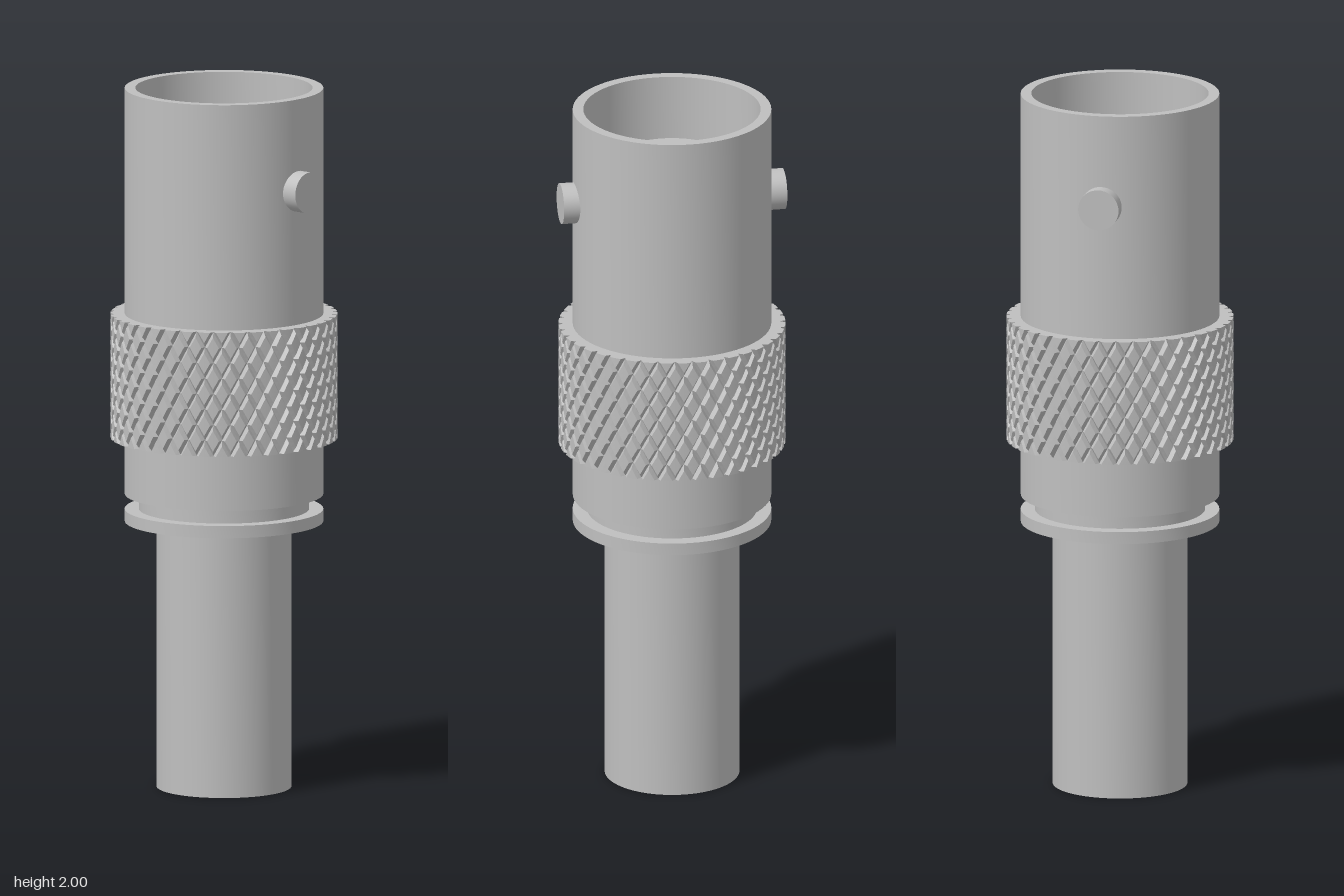
import * as THREE from 'three';
import { toCreasedNormals } from 'three/addons/utils/BufferGeometryUtils.js';

const metal = new THREE.MeshStandardMaterial({ color: 0xbfbfbf });
metal.name = 'brushed metal grey';

// Turned part from a [radius, height] profile: up the outside, down the inside
function turned(name, profile, segments = 72) {
  const points = profile.map(([r, y]) => new THREE.Vector2(r, y));
  const geometry = toCreasedNormals(new THREE.LatheGeometry(points, segments), 0.5);
  const mesh = new THREE.Mesh(geometry, metal);
  mesh.name = name;
  return mesh;
}

// Ring cut by two crossing families of V-shaped helical grooves
function knurledRing(y0, y1, radius, innerRadius) {
  const grooves = 40, period = 6, columns = grooves * period, rows = 24, depth = 0.014;
  const positions = [];
  const groove = (t) => {
    const m = ((t % period) + period) % period;
    return Math.max(0, 1 - Math.min(m, period - m));
  };
  const at = (r, i, j) => {
    const a = (i / columns) * Math.PI * 2;
    return [r * Math.sin(a), y0 + ((y1 - y0) * j) / rows, r * Math.cos(a)];
  };
  const skin = (i, j) => at(radius - depth * Math.max(groove(i + j), groove(i - j)), i, j);
  const tri = (a, b, c) => positions.push(...a, ...b, ...c);

  for (let i = 0; i < columns; i++) {
    // Knurled skin: four triangles per cell so both diagonals can be creases
    for (let j = 0; j < rows; j++) {
      const corners = [skin(i, j), skin(i + 1, j), skin(i + 1, j + 1), skin(i, j + 1)];
      const centre = skin(i + 0.5, j + 0.5);
      corners.forEach((c, k) => tri(c, corners[(k + 1) % 4], centre));
    }
    // Flat end faces
    for (const j of [0, rows]) {
      const a = skin(i, j), b = skin(i + 1, j);
      const c = at(innerRadius, i + 1, j), d = at(innerRadius, i, j);
      if (j) { tri(a, b, c); tri(a, c, d); } else { tri(a, c, b); tri(a, d, c); }
    }
  }
  const geometry = new THREE.BufferGeometry();
  geometry.setAttribute('position', new THREE.Float32BufferAttribute(positions, 3));
  geometry.computeVertexNormals();
  const mesh = new THREE.Mesh(geometry, metal);
  mesh.name = 'knurledGrip';
  return mesh;
}

export function createModel() {
  const model = new THREE.Group();
  model.name = 'coaxialConnector';

  // Main shell with snap-ring groove, bottom flange and open socket
  model.add(turned('shell', [
    [0, 0.76], [0.28, 0.76], [0.28, 0.795], [0.24, 0.795], [0.24, 0.838], [0.28, 0.838],
    [0.28, 2], [0.25, 2], [0.25, 1.3], [0, 1.3],
  ]));
  model.add(knurledRing(1.0, 1.355, 0.32, 0.275));

  // Insulating sleeve and centre contact inside the socket
  model.add(turned('insulatorSleeve', [
    [0.16, 1.3], [0.16, 1.85], [0.107, 1.85], [0.107, 1.3],
  ]));
  model.add(turned('centreContact', [
    [0.042, 1.3], [0.042, 1.8], [0.02, 1.8], [0.02, 1.5], [0, 1.48],
  ], 32));

  // Stem joining the shell to the crimp sleeve
  model.add(turned('stem', [
    [0.09, 0.4], [0.12, 0.4], [0.12, 0.77], [0.09, 0.77], [0.09, 0.4],
  ]));
  model.add(turned('crimpSleeve', [
    [0.155, 0], [0.19, 0], [0.19, 0.745], [0.155, 0.745], [0.155, 0],
  ]));

  // Locking studs on both sides
  for (const side of [1, -1]) {
    const stud = new THREE.Mesh(new THREE.CylinderGeometry(0.058, 0.058, 0.054, 40), metal);
    stud.name = side > 0 ? 'leftStud' : 'rightStud';
    stud.rotation.z = Math.PI / 2;
    stud.position.set(side * 0.293, 1.737, 0);
    model.add(stud);
  }
  return model;
}
